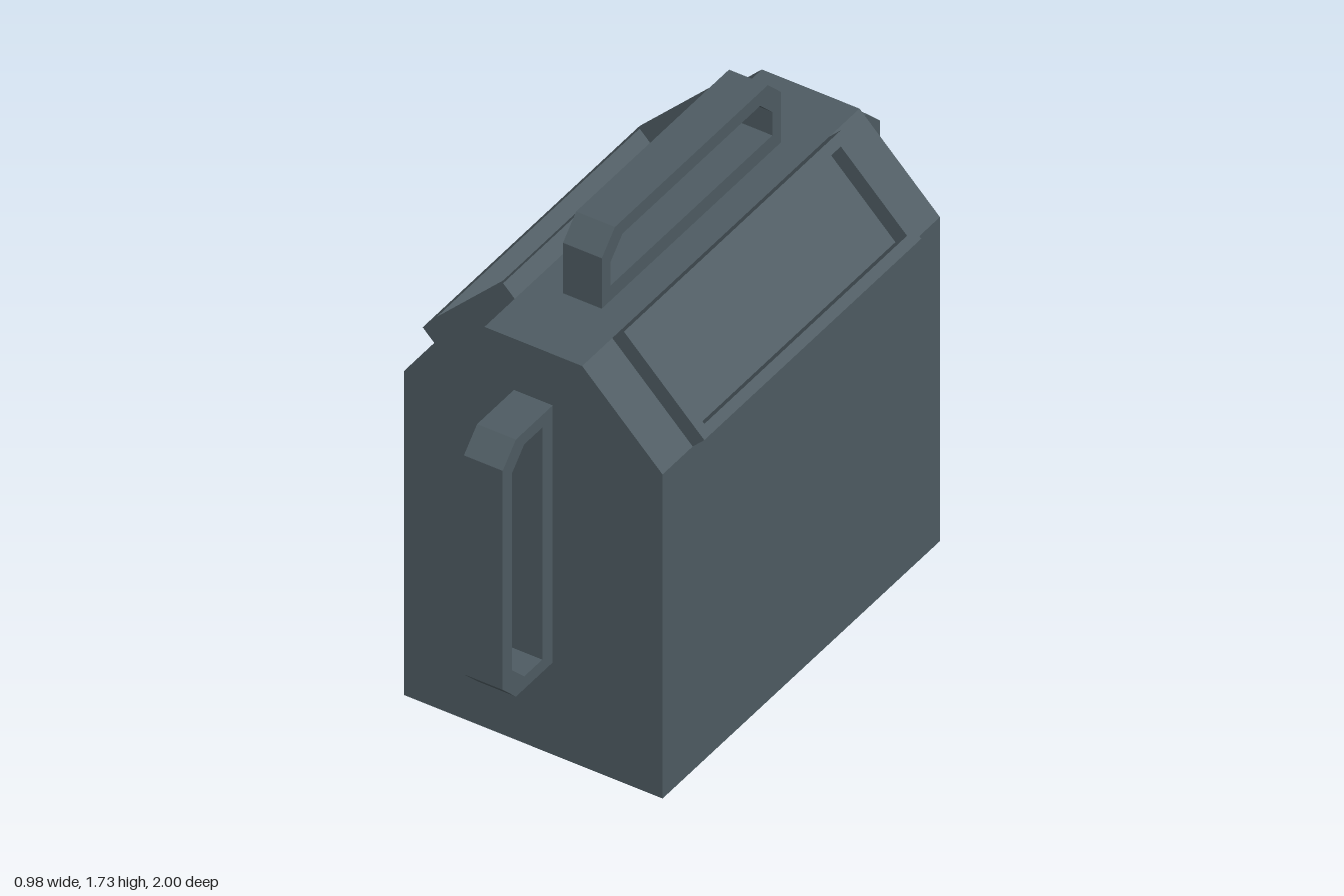
import * as THREE from 'three';

function material(name, color) {
  const result = new THREE.MeshStandardMaterial({ color });
  result.name = name;
  return result;
}
const steel = material('slateSteel', 0x4e5b62);
const black = material('undersideBlack', 0x020202);

function polygon(points, Type = THREE.Shape) {
  return new Type(points.map(([x, y]) => new THREE.Vector2(x, y)));
}

// Extrudes a shape along z, centred or starting at zero
function extrude(shape, depth, centred) {
  const geometry = new THREE.ExtrudeGeometry(shape, { depth, bevelEnabled: false });
  if (centred) geometry.translate(0, 0, -depth / 2);
  return geometry;
}

// Makes a mesh whose straight-down faces are black and all others steel
function part(name, geometry) {
  const normal = geometry.attributes.normal;
  geometry.clearGroups();
  for (let i = 0; i < normal.count; i += 3) {
    geometry.addGroup(i, 3, normal.getY(i) < -0.99 ? 1 : 0);
  }
  const mesh = new THREE.Mesh(geometry, [steel, black]);
  mesh.name = name;
  return mesh;
}

// Chamfered closed loop: runs along z, rises along +y from its mounting bar
function handleGeometry(halfLength, height) {
  const L = halfLength, H = height, c = 0.07;
  const l = L - 0.046, h = H - 0.05, base = 0.055, d = 0.064;
  const shape = polygon([[-L, 0], [L, 0], [L, H - c], [L - c, H], [-L + c, H], [-L, H - c]]);
  shape.holes.push(polygon(
    [[-l, base], [-l, h - d], [-l + d, h], [l - d, h], [l, h - d], [l, base]], THREE.Path));
  return extrude(shape, 0.135, true).rotateY(Math.PI / 2);
}

// Raised rectangular frame lying on a sloped shoulder
function shoulderFrame(name, side) {
  const rect = (w, l) => [[-w, -l], [w, -l], [w, l], [-w, l]];
  const shape = polygon(rect(0.198, 0.575));
  shape.holes.push(polygon(rect(0.163, 0.537).reverse(), THREE.Path));
  const geometry = extrude(shape, 0.057, false).rotateX(-Math.PI / 2).rotateZ(-side * Math.PI / 4);
  const mesh = part(name, geometry);
  mesh.position.set(side * 0.31, 1.33, 0);
  return mesh;
}

export function createModel() {
  const model = new THREE.Group();
  model.name = 'canister';

  // Box body with sloped shoulders
  const profile = polygon([
    [-0.45, 0], [0.45, 0], [0.45, 1.19], [0.17, 1.47], [-0.17, 1.47], [-0.45, 1.19]]);
  model.add(part('body', extrude(profile, 1.47, true)));

  // Frames on both shoulders
  model.add(shoulderFrame('leftShoulderFrame', 1), shoulderFrame('rightShoulderFrame', -1));

  // Carrying handle on top
  const top = part('topHandle', handleGeometry(0.475, 0.255));
  top.position.y = 1.47;
  model.add(top);

  // Upright handles on the front and back
  for (const [name, side] of [['frontHandle', 1], ['backHandle', -1]]) {
    const grip = part(name, handleGeometry(0.472, 0.265).rotateX(side * Math.PI / 2));
    grip.position.set(0, 0.81, side * 0.735);
    model.add(grip);
  }
  return model;
}
